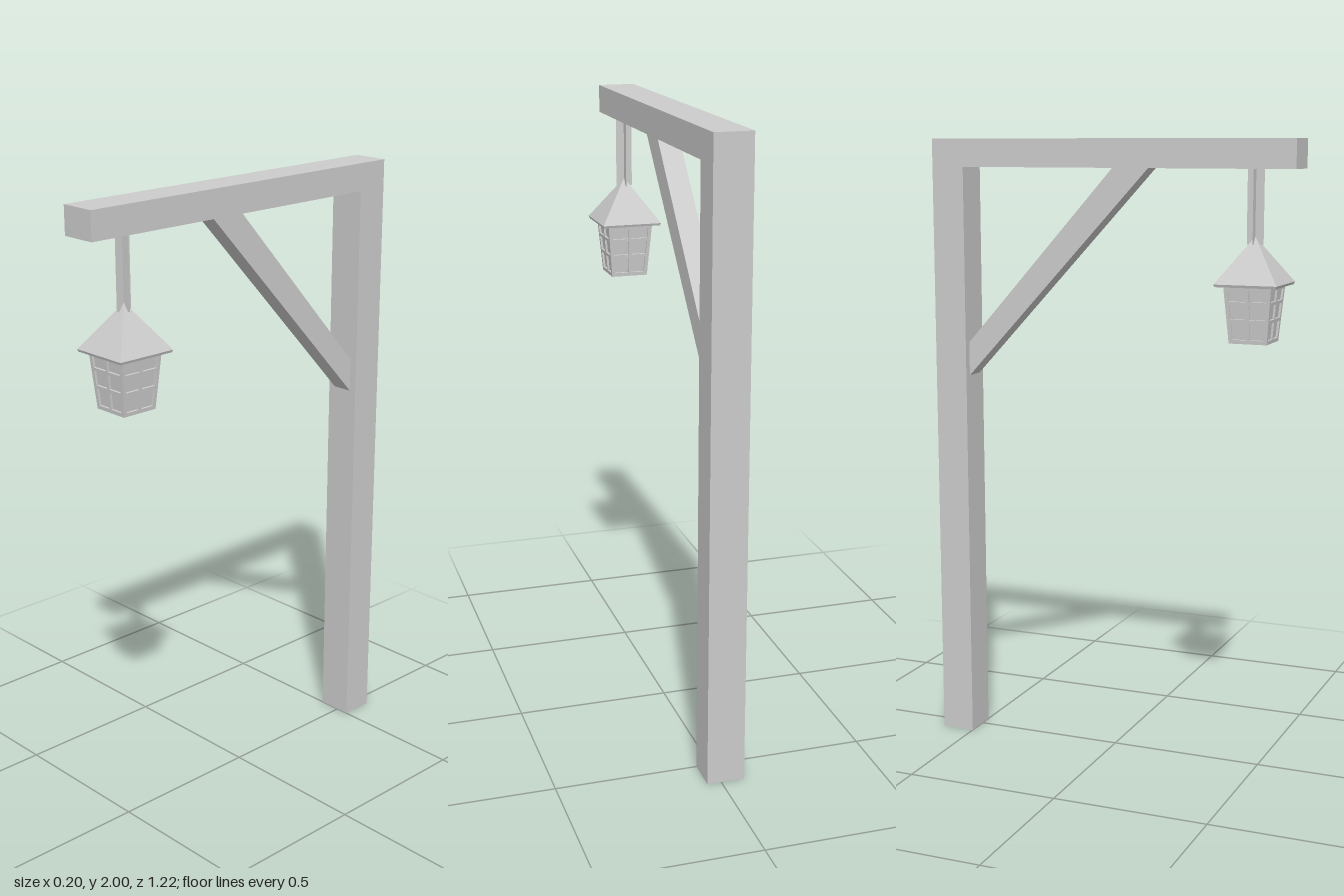
import * as THREE from 'three';

const material = new THREE.MeshStandardMaterial({ color: 0xcccccc, flatShading: true, side: THREE.DoubleSide });

function add(parent, name, geometry, x = 0, y = 0, z = 0) {
  const mesh = new THREE.Mesh(geometry, material);
  mesh.name = name;
  mesh.position.set(x, y, z);
  parent.add(mesh);
  return mesh;
}

// Square frustum given by half widths, with its sides facing x and z
function frustum(top, bottom, height) {
  const r = Math.SQRT2;
  return new THREE.CylinderGeometry(top * r, bottom * r, height, 4).rotateY(Math.PI / 4);
}

// Tapered lattice with two columns and three rows of openings
function latticeGeometry(bottom, top, height, depth) {
  const half = (y) => bottom + (top - bottom) * y / height;
  const bar = 0.005;
  const shape = new THREE.Shape([[-bottom, 0], [bottom, 0], [top, height], [-top, height]]
    .map(([x, y]) => new THREE.Vector2(x, y)));
  for (const [y0, y1] of [[0.012, 0.065], [0.075, 0.12], [0.13, 0.165]]) {
    for (const s of [-1, 1]) {
      shape.holes.push(new THREE.Path([
        [bar, y0], [half(y0) - 0.012, y0], [half(y1) - 0.012, y1], [bar, y1],
      ].map(([x, y]) => new THREE.Vector2(s * x, y))));
    }
  }
  return new THREE.ExtrudeGeometry(shape, { depth, bevelEnabled: false }).translate(0, 0, -depth);
}

export function createModel() {
  const model = new THREE.Group();
  model.name = 'lanternPost';
  const beamX = -0.015;

  // Upright post, open underneath
  const post = new THREE.BoxGeometry(0.12, 1.91, 0.11);
  const index = Array.from(post.index.array);
  index.splice(18, 6);
  post.setIndex(index);
  add(model, 'post', post, beamX, 0.955, -0.555);

  // Overhanging beam
  add(model, 'beam', new THREE.BoxGeometry(0.12, 0.09, 1.22), beamX, 1.955, 0);

  // Diagonal brace between post and beam
  const braceShape = new THREE.Shape([[-0.5, 1.23], [0.13, 1.91], [0.01, 1.91], [-0.5, 1.34]]
    .map(([z, y]) => new THREE.Vector2(z, y)));
  const brace = new THREE.ExtrudeGeometry(braceShape, { depth: 0.07, bevelEnabled: false });
  add(model, 'brace', brace.rotateY(-Math.PI / 2), 0.02, 0, 0);

  // Lantern
  const lantern = new THREE.Group();
  lantern.name = 'lantern';
  lantern.position.set(0, 0, 0.463);
  model.add(lantern);

  // Hanger made of two crossed strips
  for (const turn of [0, Math.PI / 2]) {
    add(lantern, 'hanger', new THREE.PlaneGeometry(0.054, 0.23).rotateY(turn), 0, 1.795, 0);
  }

  // Pyramid roof on a thin eave
  add(lantern, 'roof', frustum(0, 0.1, 0.142), 0, 1.634, 0);
  add(lantern, 'eave', frustum(0.1, 0.097, 0.008), 0, 1.559, 0);

  // Glass body set back behind the lattice
  const bottom = 0.061, top = 0.076, y0 = 1.38, height = 0.176;
  add(lantern, 'glass', frustum(top - 0.007, bottom - 0.007, height), 0, y0 + height / 2, 0);
  add(lantern, 'lanternBase', frustum(bottom, bottom, 0.003), 0, y0 + 0.0015, 0);

  // Four leaning lattice sides
  const lattice = latticeGeometry(bottom, top, height, 0.007)
    .rotateX(Math.atan((top - bottom) / height))
    .translate(0, 0, bottom);
  for (let i = 0; i < 4; i++) {
    add(lantern, 'lattice', lattice, 0, y0, 0).rotation.y = i * Math.PI / 2;
  }

  return model;
}
